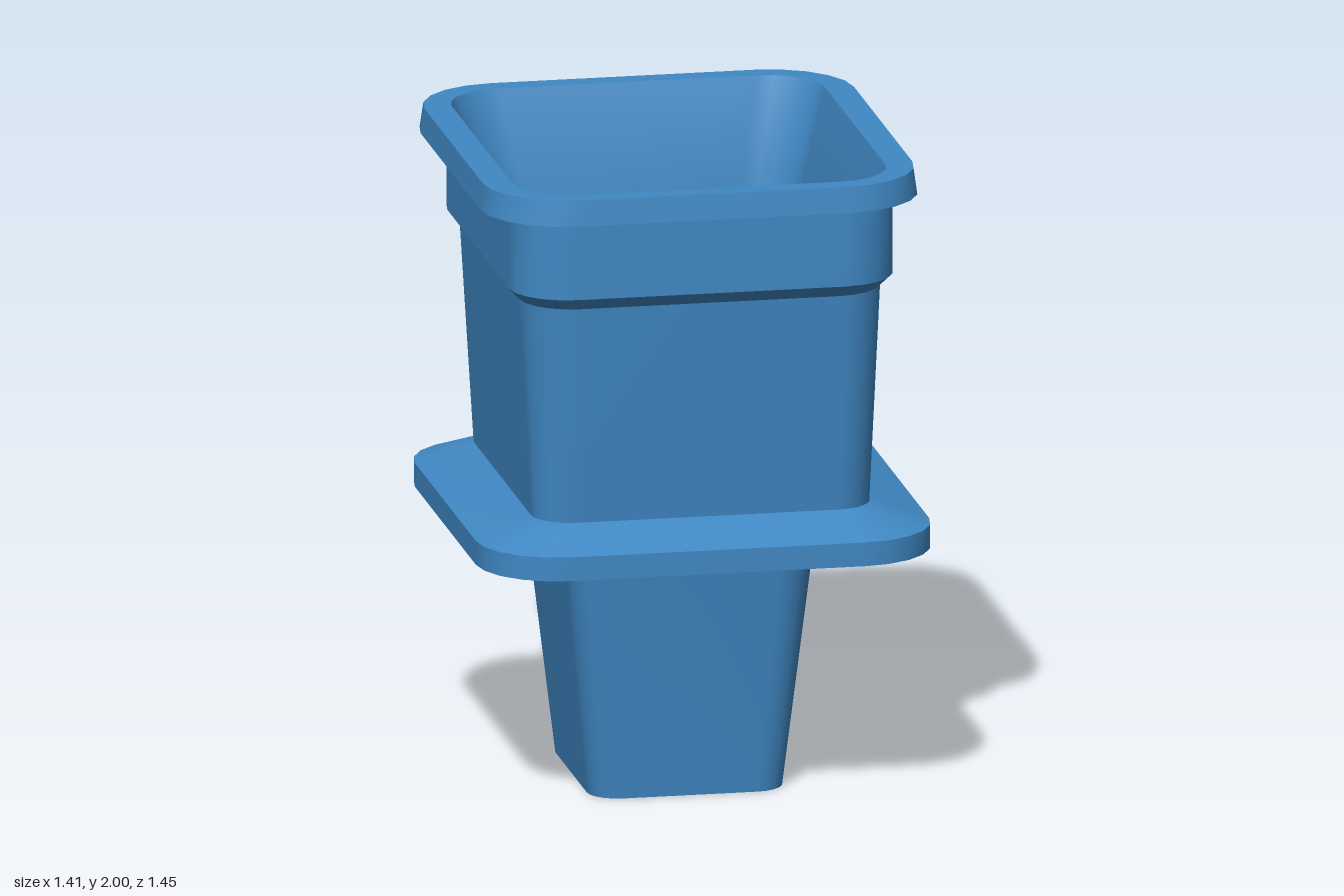
import * as THREE from 'three';

const SEG = 5; // segments per rounded corner

// Rounded rectangle ring: y, half width, half depth, corner radius, x offset
function ringPoints([y, hx, hz, r, cx = 0]) {
  const pts = [];
  for (let q = 0; q < 4; q++) {
    const sx = q === 0 || q === 3 ? 1 : -1;
    const sz = q < 2 ? 1 : -1;
    for (let i = 0; i <= SEG; i++) {
      const a = (q + i / SEG) * Math.PI / 2;
      pts.push(cx + sx * (hx - r) + r * Math.cos(a), y, sz * (hz - r) + r * Math.sin(a));
    }
  }
  return pts;
}

// Smooth wall through a list of rings; separate walls keep the edges between them sharp
function wall(rings) {
  const n = 4 * (SEG + 1);
  const index = [];
  for (let k = 0; k < rings.length - 1; k++) {
    for (let i = 0; i < n; i++) {
      const a = k * n + i, b = k * n + (i + 1) % n;
      index.push(a, a + n, b, b, a + n, b + n);
    }
  }
  const g = new THREE.BufferGeometry();
  g.setAttribute('position', new THREE.Float32BufferAttribute(rings.flatMap(ringPoints), 3));
  g.setIndex(index);
  g.computeVertexNormals();
  return g;
}

export function createModel() {
  const model = new THREE.Group();
  model.name = 'planter';
  const blue = new THREE.MeshStandardMaterial({ color: 0x4088c4, side: THREE.DoubleSide });
  blue.name = 'blue plastic';

  const part = (name, walls) => {
    const group = new THREE.Group();
    group.name = name;
    for (const rings of walls) {
      const mesh = new THREE.Mesh(wall(rings), blue);
      mesh.name = name + 'Wall';
      group.add(mesh);
    }
    model.add(group);
  };

  // Collar around the open foot of the outer shell
  const hole = [0.8, 0.527, 0.565, 0.12];
  const foot = [0.8, 0.707, 0.727, 0.25];
  const edge = [0.875, 0.707, 0.727, 0.25];
  const waist = [0.94, 0.527, 0.565, 0.12, -0.002];
  part('collar', [[waist, hole], [hole, foot], [foot, edge], [edge, waist]]);

  // Tapered outer shell with a wider band at the top
  const ledgeLow = [1.63, 0.562, 0.62, 0.16, -0.007];
  const ledgeHigh = [1.67, 0.597, 0.66, 0.18, -0.008];
  const bandTop = [1.91, 0.597, 0.66, 0.18, -0.008];
  part('outerShell', [[waist, ledgeLow], [ledgeLow, ledgeHigh], [ledgeHigh, bandTop]]);

  // Overhanging rim
  const rimLow = [1.92, 0.68, 0.727, 0.26, -0.011];
  const rimHigh = [2, 0.67, 0.717, 0.26, -0.011];
  const mouth = [2, 0.582, 0.65, 0.18, -0.011];
  part('rim', [[bandTop, rimLow], [rimLow, rimHigh], [rimHigh, mouth]]);

  // Thin inner pot hanging from the rim, reaching below the collar
  const bend = [1.68, 0.487, 0.541, 0.15, -0.011];
  const base = [0, 0.304, 0.34, 0.095, -0.011];
  part('innerPot', [[mouth, bend, base], [base, [0, 0, 0, 0, -0.011]]]);

  return model;
}
